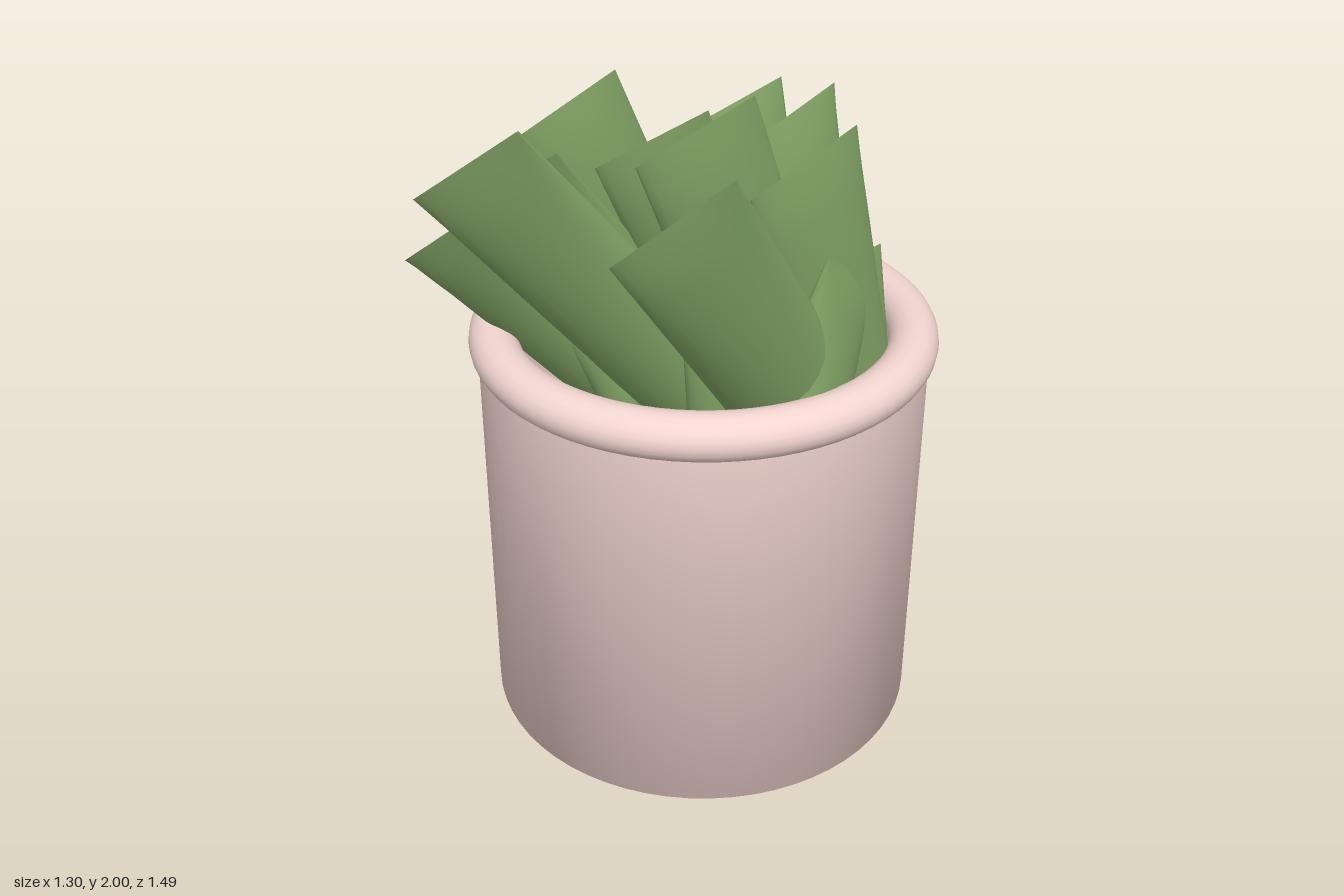
import * as THREE from 'three';

const POT_Z = -0.1;      // pot axis
const ROOT_Y = 0.82;     // where the leaves start inside the pot

// Leaf: an oval tube flattened to a straight edge from a to b at its tip
function makeLeaf(a, b, root, thickness, material) {
  const A = new THREE.Vector3(...a), B = new THREE.Vector3(...b);
  const start = new THREE.Vector3(...root);
  const tip = A.clone().add(B).multiplyScalar(0.5);
  const half = B.clone().sub(A).multiplyScalar(0.5);
  const axis = tip.clone().sub(start).normalize();
  const across = axis.clone().cross(half).normalize();
  const rows = 14, sides = 24, pos = [], index = [];
  for (let i = 0; i <= rows; i++) {
    const s = i / rows;
    const centre = start.clone().lerp(tip, s);
    const t = thickness * Math.pow(1 - s, 0.7);
    for (let j = 0; j < sides; j++) {
      const angle = (j / sides) * Math.PI * 2;
      const p = centre.clone()
        .addScaledVector(half, Math.cos(angle))
        .addScaledVector(across, Math.sin(angle) * t);
      pos.push(p.x, p.y, p.z);
      if (i < rows) {
        const k = i * sides + j, n = i * sides + (j + 1) % sides;
        index.push(k, n, n + sides, k, n + sides, k + sides);
      }
    }
  }
  const geometry = new THREE.BufferGeometry();
  geometry.setAttribute('position', new THREE.Float32BufferAttribute(pos, 3));
  geometry.setIndex(index);
  geometry.computeVertexNormals();
  return new THREE.Mesh(geometry, material);
}

export function createModel() {
  const model = new THREE.Group();
  const clay = new THREE.MeshStandardMaterial({ color: 0xf2d5d0, side: THREE.DoubleSide });
  const green = new THREE.MeshStandardMaterial({ color: 0x86a968, side: THREE.DoubleSide });

  const add = (name, geometry, y) => {
    const mesh = new THREE.Mesh(geometry, clay);
    mesh.name = name;
    mesh.position.set(0, y, POT_Z);
    model.add(mesh);
  };

  // Pot: body with its base softly shaded into the wall, inside, rolled rim
  const profile = [[0, 0], [0.626, 0], [0.626, 1.17]].map(p => new THREE.Vector2(...p));
  add('potBody', new THREE.LatheGeometry(profile, 64), 0);
  add('potInnerWall', new THREE.CylinderGeometry(0.55, 0.55, 0.37, 64, 1, true), 0.985);
  add('potFloor', new THREE.CircleGeometry(0.55, 64).rotateX(-Math.PI / 2), 0.8);
  add('potRim', new THREE.TorusGeometry(0.581, 0.069, 20, 72).rotateX(Math.PI / 2).scale(1, 0.92, 1), 1.166);

  // Long leaves: two tip corners, optional root
  const longLeaves = [
    [[-0.55, 1.43, 0.48], [-0.28, 1.63, 0.50], [-0.05, ROOT_Y, -0.15]],
    [[-0.26, 1.70, 0.60], [0.00, 1.86, 0.47]],
    [[-0.21, 1.78, 0.74], [0.03, 1.97, 0.63], [0.03, ROOT_Y, -0.22]],
    [[0.37, 1.77, 0.73], [0.55, 1.95, 0.52]],
    [[0.00, 1.78, 0.34], [0.22, 1.93, 0.18]],
    [[0.20, 1.86, 0.43], [0.36, 2.00, 0.19]],
    [[0.41, 1.78, 0.27], [0.52, 1.91, 0.00]],
    [[-0.29, 1.78, 0.30], [-0.20, 1.90, 0.02], [-0.30, ROOT_Y, -0.44]],
    [[-0.10, 1.70, 0.00], [0.12, 1.87, -0.27]],
    [[0.18, 1.76, 0.00], [0.27, 1.88, -0.29], [0.16, ROOT_Y, -0.44]],
    [[0.49, 1.40, -0.19], [0.51, 1.60, 0.08], [0.36, ROOT_Y, 0.08]],
  ];
  // Short leaves around the outside
  const shortLeaves = [
    [[-0.42, 1.15, 0.03], [-0.30, 1.33, -0.28], [-0.42, ROOT_Y, -0.30]],
    [[-0.32, 1.22, -0.36], [-0.08, 1.28, -0.48], [-0.25, ROOT_Y, -0.51]],
    [[-0.10, 1.30, -0.47], [0.14, 1.35, -0.50], [0.02, ROOT_Y, -0.57]],
    [[0.30, 1.38, -0.21], [0.42, 1.46, -0.32], [0.32, ROOT_Y, -0.46]],
    [[0.30, 1.35, -0.10], [0.33, 1.40, -0.30], [0.22, ROOT_Y, -0.25]],
    [[-0.18, 1.28, 0.30], [-0.09, 1.36, 0.24], [-0.12, ROOT_Y, 0.02]],
    [[0.19, 1.32, 0.24], [0.30, 1.36, 0.14], [0.15, ROOT_Y, 0.03]],
  ];

  const leaves = new THREE.Group();
  leaves.name = 'leaves';
  const plant = (list, name, thickness) => list.forEach(([a, b, root], i) => {
    const x = (a[0] + b[0]) / 2, z = (a[2] + b[2]) / 2;
    const base = root || [0.72 * x, ROOT_Y, -0.36 + 0.15 * z];
    const leaf = makeLeaf(a, b, base, thickness, green);
    leaf.name = name + (i + 1);
    leaves.add(leaf);
  });
  plant(longLeaves, 'longLeaf', 0.16);
  plant(shortLeaves, 'shortLeaf', 0.1);
  model.add(leaves);

  return model;
}
